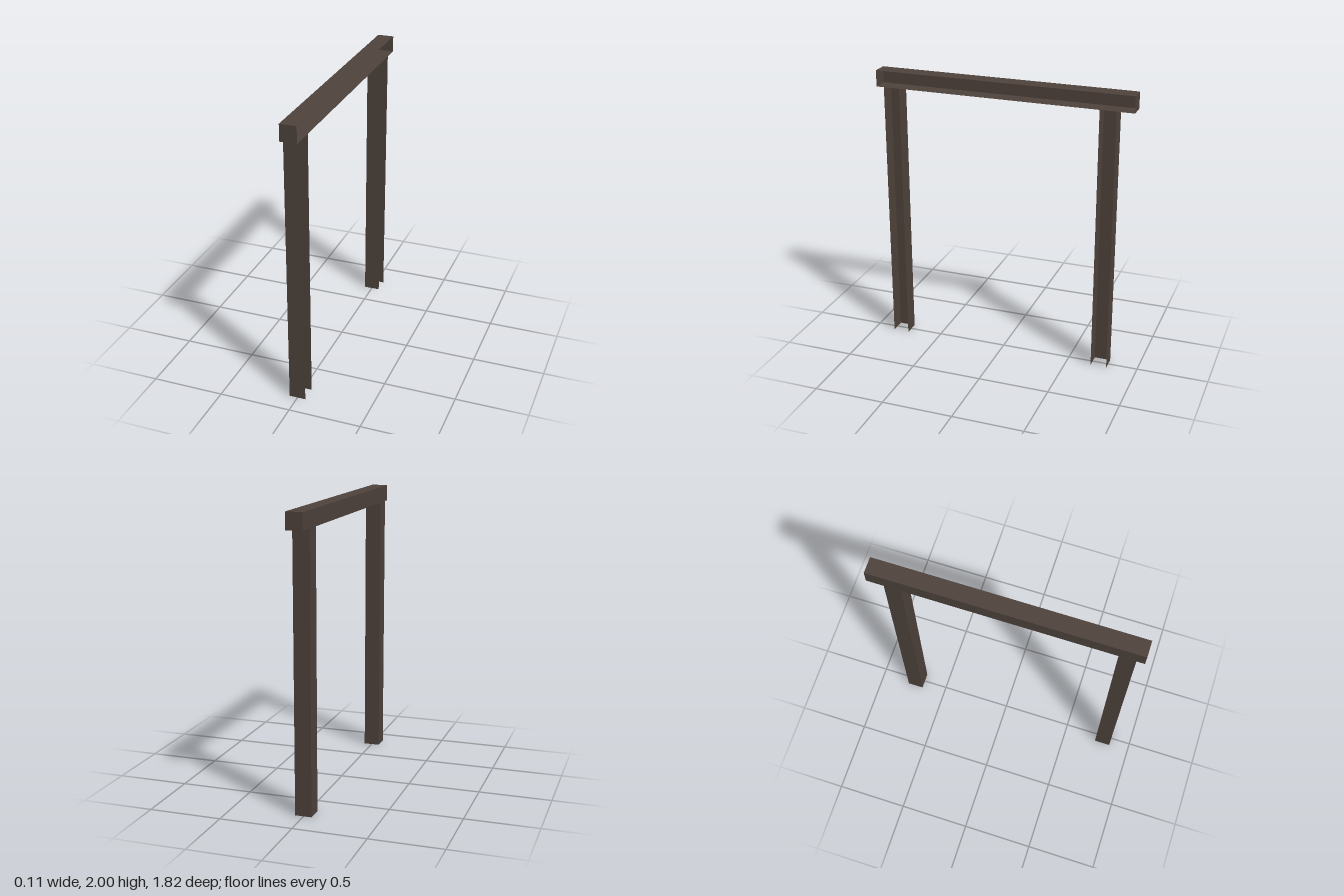
import * as THREE from 'three';

// Box that keeps only the listed sides (0 +x, 1 -x, 2 +y, 3 -y, 4 +z, 5 -z)
function openBox(w, h, d, sides) {
  const geo = new THREE.BoxGeometry(w, h, d);
  const all = Array.from(geo.index.array);
  geo.setIndex(sides.flatMap((s) => all.slice(s * 6, s * 6 + 6)));
  geo.clearGroups();
  return geo;
}

export function createModel() {
  const group = new THREE.Group();
  group.name = 'timberFrame';
  const wood = new THREE.MeshStandardMaterial({ color: 0x4f433c, side: THREE.DoubleSide });
  wood.name = 'dark wood';

  const T = 0.114; // timber thickness
  const H = 2 - T; // post height

  const add = (name, geo, y, z) => {
    const mesh = new THREE.Mesh(geo, wood);
    mesh.name = name;
    mesh.position.set(0, y, z);
    group.add(mesh);
  };

  // Top beam, open along its +x side
  add('topBeam', openBox(T, T, 1.818, [1, 2, 3, 4, 5]), 2 - T / 2, 0);

  // Posts, open on the +x side and at both ends
  add('frontPost', openBox(T, H, T, [1, 4, 5]), H / 2, 0.797);
  add('backPost', openBox(T, H, T, [1, 4, 5]), H / 2, -0.733);

  return group;
}
